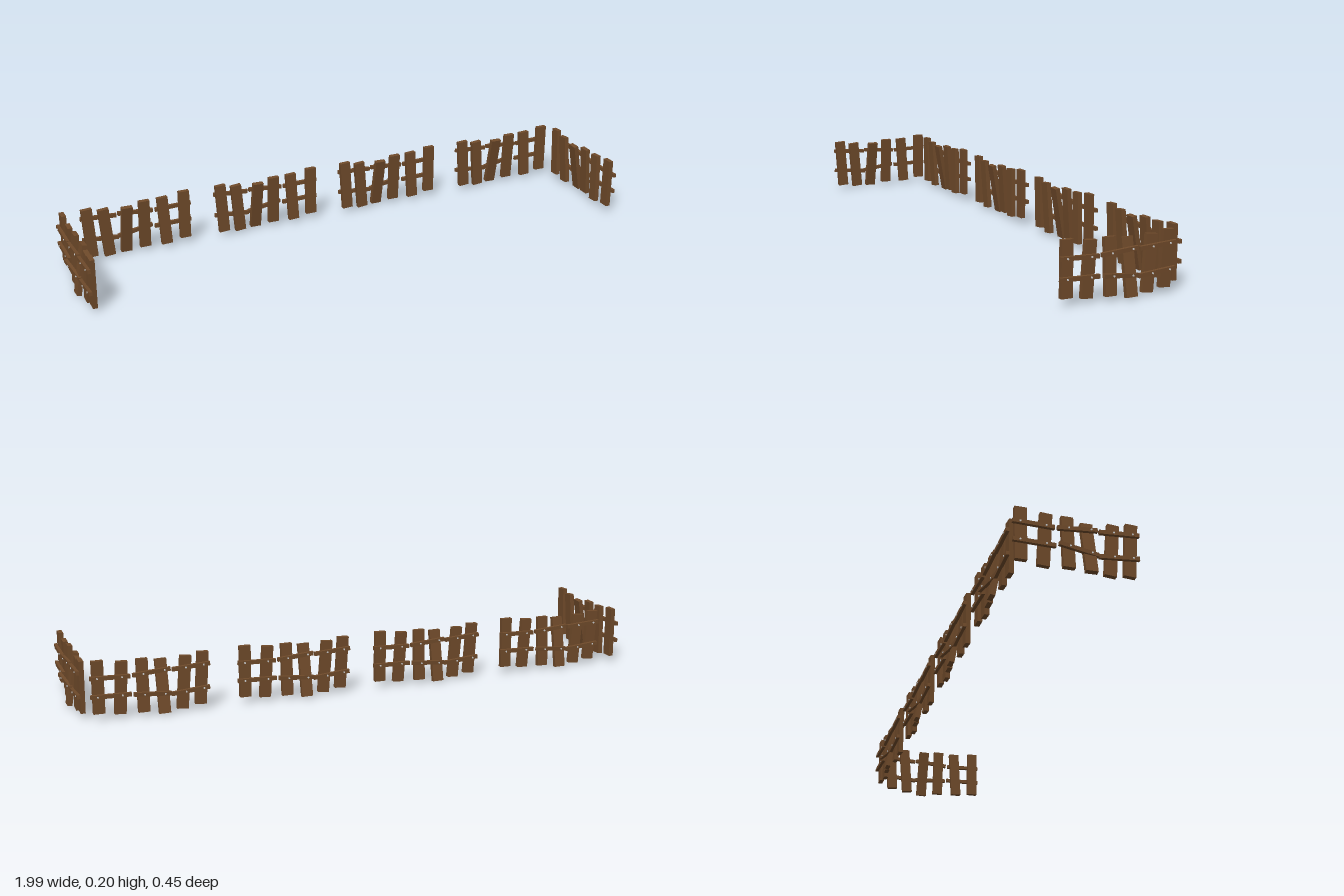
import * as THREE from 'three';

const wood = new THREE.MeshStandardMaterial({ color: 0x6f4a2a, flatShading: true });
const metal = new THREE.MeshStandardMaterial({ color: 0xcccccc });

// Planks: x at bottom, x at top, y bottom, y top, z at bottom, z at top
const PLANKS = [
  [-0.163, -0.174, 0.018, 0.196, 0.001, 0],
  [-0.101, -0.117, 0.010, 0.187, -0.002, 0.003],
  [-0.038, -0.035, 0.006, 0.183, -0.019, 0.013],
  [0.028, 0.028, 0.015, 0.192, -0.008, 0.004],
  [0.104, 0.094, 0.015, 0.191, 0.003, 0],
  [0.173, 0.173, 0.024, 0.200, 0, 0],
];

// Rail segments: x start, y start, z start, x end, y end, z end
const RAILS = [
  [-0.194, 0.157, -0.013, -0.067, 0.149, -0.013],
  [-0.062, 0.153, -0.013, 0.063, 0.143, -0.013],
  [0.071, 0.142, -0.013, 0.201, 0.146, -0.013],
  [-0.192, 0.077, -0.013, -0.064, 0.066, -0.013],
  [-0.064, 0.069, -0.013, 0.063, 0.083, -0.027],
  [0.068, 0.081, -0.013, 0.201, 0.084, -0.013],
];
const NAIL_X = [[-0.172, -0.112], [-0.042, 0.028], [0.098, 0.178]];

// Box stretched from a to b along the given local axis
function board(name, a, b, axis, size) {
  const dir = b.clone().sub(a);
  const dims = size.clone();
  dims[axis] = dir.length();
  const mesh = new THREE.Mesh(new THREE.BoxGeometry(dims.x, dims.y, dims.z), wood);
  const unit = new THREE.Vector3();
  unit[axis] = 1;
  mesh.quaternion.setFromUnitVectors(unit, dir.normalize());
  mesh.position.addVectors(a, b).multiplyScalar(0.5);
  mesh.name = name;
  return mesh;
}

// One fence panel, planks facing +z and rails nailed on behind
function createPanel() {
  const panel = new THREE.Group();
  for (const [x0, x1, y0, y1, z0, z1] of PLANKS) {
    panel.add(board('plank', new THREE.Vector3(x0, y0, z0), new THREE.Vector3(x1, y1, z1),
      'y', new THREE.Vector3(0.038, 0, 0.016)));
  }
  const nailGeometry = new THREE.CylinderGeometry(0.003, 0.003, 0.004, 8).rotateX(Math.PI / 2);
  RAILS.forEach((r, i) => {
    const a = new THREE.Vector3(...r.slice(0, 3));
    const b = new THREE.Vector3(...r.slice(3));
    panel.add(board('rail', a, b, 'x', new THREE.Vector3(0, 0.013, 0.011)));
    for (const x of NAIL_X[i % 3]) {
      const nail = new THREE.Mesh(nailGeometry, metal);
      nail.name = 'nail';
      nail.position.lerpVectors(a, b, (x - a.x) / (b.x - a.x));
      nail.position.z -= 0.006;
      panel.add(nail);
    }
  });
  return panel;
}

export function createModel() {
  const fence = new THREE.Group();
  fence.name = 'fence';
  const place = (name, x, y, z, turn) => {
    const panel = createPanel();
    panel.name = name;
    panel.position.set(x, y, z);
    panel.rotation.y = turn;
    fence.add(panel);
  };
  // Back row, then the two ends, all facing inward
  for (const x of [-0.71, -0.228, 0.255, 0.745]) place('backPanel', x, 0, -0.192, 0);
  place('leftEndPanel', 0.963, 0, 0.027, -Math.PI / 2);
  place('rightEndPanel', -0.966, -0.004, -0.013, Math.PI / 2);
  return fence;
}
